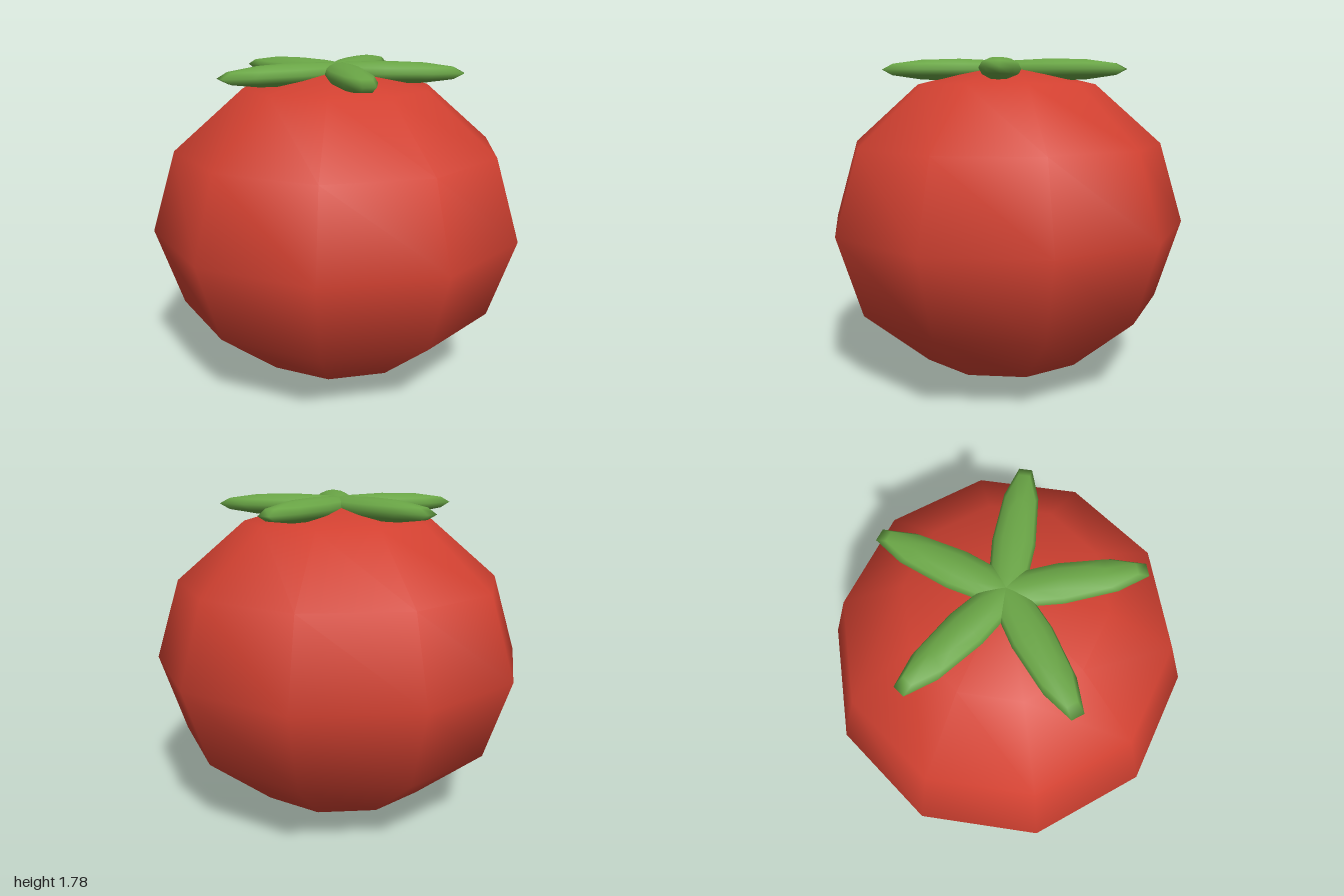
import * as THREE from 'three';

// Low-poly ellipsoid whose ten-sided equator has corners on the z axis
function ellipsoid(rx, ry, rz) {
  return new THREE.SphereGeometry(1, 10, 6).rotateY(Math.PI / 2).scale(rx, ry, rz);
}

export function createModel() {
  const red = new THREE.MeshStandardMaterial({ name: 'tomato red', color: 0xd24131 });
  const green = new THREE.MeshStandardMaterial({ name: 'leaf green', color: 0x6aa646 });
  const model = new THREE.Group();
  model.name = 'tomato';

  // Squashed fruit
  const fruit = new THREE.Mesh(ellipsoid(1.034, 0.88, 1), red);
  fruit.name = 'fruit';
  fruit.position.y = 0.88;
  model.add(fruit);

  // Five long leaves in a star, their inner ends crossing at the centre
  const leaves = new THREE.Group();
  leaves.name = 'leaves';
  leaves.position.y = 1.72;
  const leafGeometry = ellipsoid(0.442, 0.06, 0.105).translate(0.26, 0, 0);
  for (let i = 0; i < 5; i++) {
    const leaf = new THREE.Mesh(leafGeometry, green);
    leaf.name = 'leaf' + (i + 1);
    leaf.rotation.y = (i * 2 * Math.PI) / 5;
    leaves.add(leaf);
  }
  model.add(leaves);
  return model;
}
